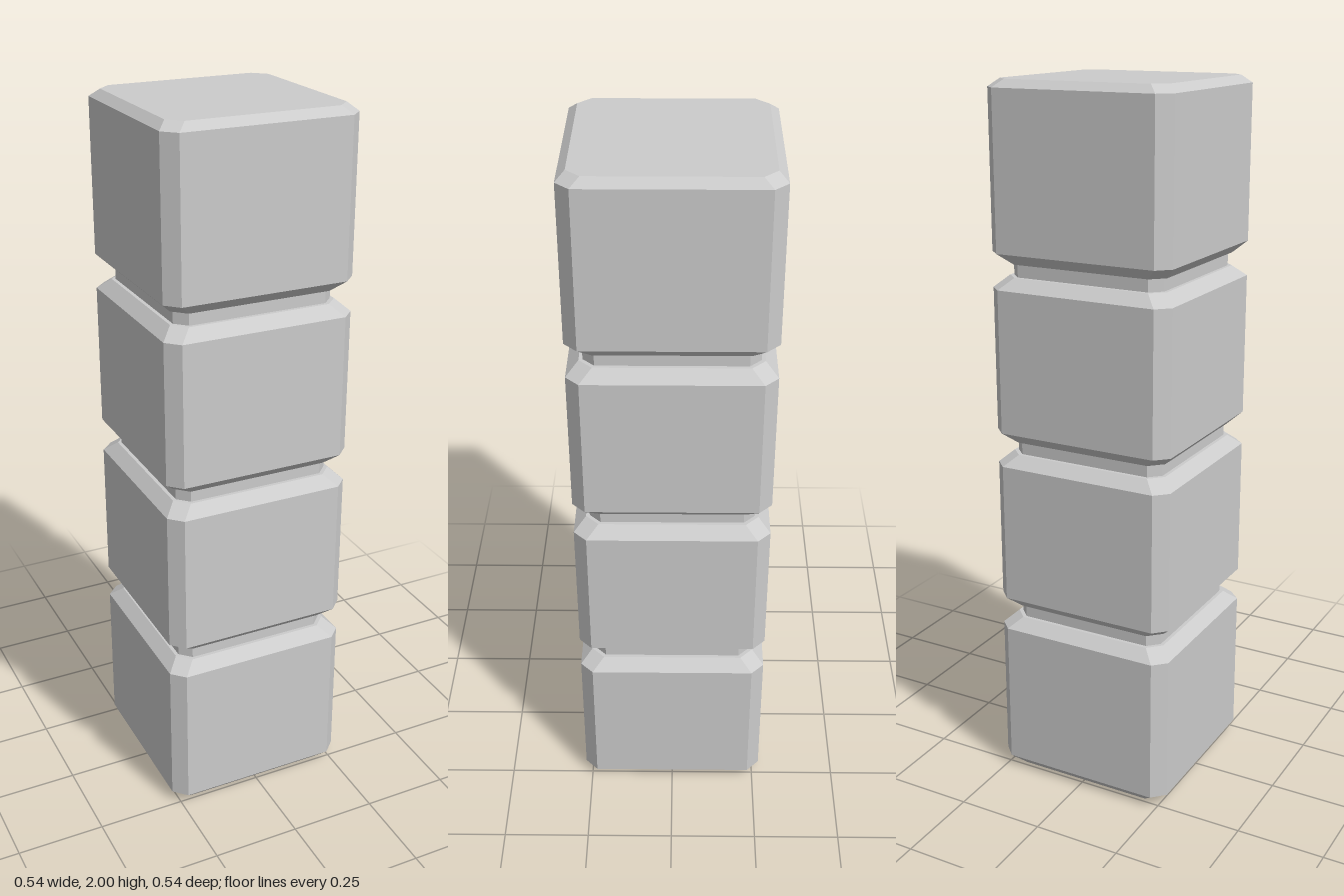
import * as THREE from 'three';

const material = new THREE.MeshStandardMaterial({ color: 0xcccccc, flatShading: true });

// Square ring with cut corners, running counter-clockwise seen from above
function ring([y, half, cut]) {
  const a = half, b = half - cut;
  return [[a, b], [a, -b], [b, -a], [-b, -a], [-a, -b], [-a, b], [-b, a], [b, a]]
    .map(([x, z]) => [x, y, z]);
}

// Closed solid through a stack of rings, each given as [y, half width, corner cut]
function loft(name, levels) {
  const rings = levels.map(ring);
  const points = [];
  const n = 8;
  for (let k = 0; k < rings.length - 1; k++) {
    const lo = rings[k], hi = rings[k + 1];
    for (let i = 0; i < n; i++) {
      const j = (i + 1) % n;
      points.push(lo[i], lo[j], hi[j], lo[i], hi[j], hi[i]);
    }
  }
  const bottom = rings[0], top = rings[rings.length - 1];
  for (let i = 1; i < n - 1; i++) {
    points.push(top[0], top[i], top[i + 1], bottom[0], bottom[i + 1], bottom[i]);
  }
  const geometry = new THREE.BufferGeometry();
  geometry.setAttribute('position', new THREE.Float32BufferAttribute(points.flat(), 3));
  geometry.computeVertexNormals();
  const mesh = new THREE.Mesh(geometry, material);
  mesh.name = name;
  return mesh;
}

export function createModel() {
  const group = new THREE.Group();
  group.name = 'blockColumn';
  const count = 4, pitch = 0.5, half = 0.27, cut = 0.036;

  for (let i = 0; i < count; i++) {
    const y = i * pitch;
    const last = i === count - 1;
    const bottom = i === 0 ? 0 : y + 0.022;
    const top = last ? 2 : y + 0.486;

    // Bevelled block; the uppermost one has a shallower top bevel
    group.add(loft('block' + (i + 1), [
      [bottom, half - 0.033, cut],
      [y + 0.033 + (i ? 0.02 : 0), half, cut],
      [last ? 1.979 : top - 0.031, half, cut],
      [top, last ? half - 0.024 : half - 0.033, cut],
    ]));

    // Recessed neck up to the next block
    if (!last) {
      group.add(loft('neck' + (i + 1), [
        [top, 0.227, 0.031],
        [y + pitch + 0.022, 0.227, 0.031],
      ]));
    }
  }
  return group;
}
